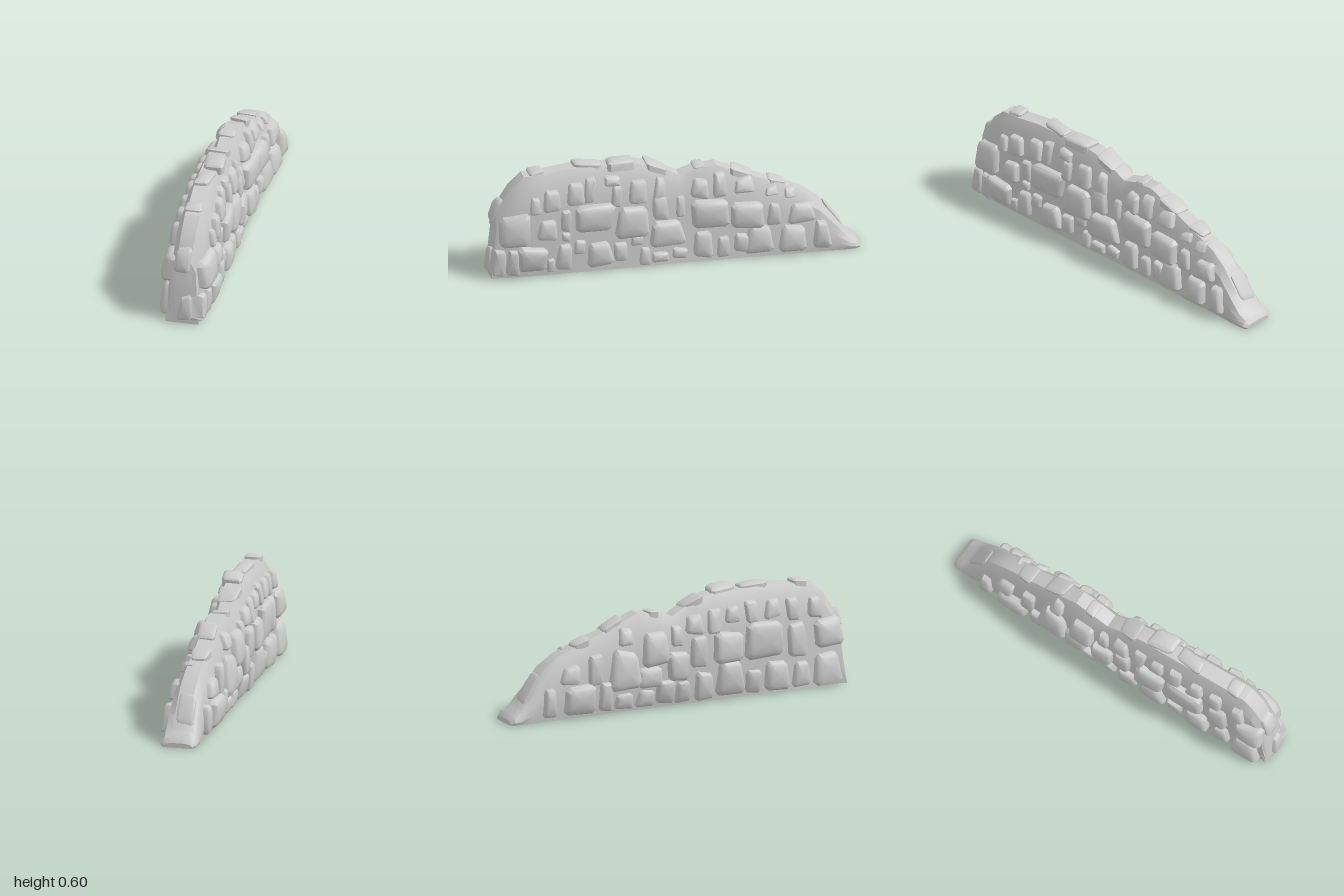
import * as THREE from 'three';
import { toCreasedNormals } from 'three/addons/utils/BufferGeometryUtils.js';

const material = new THREE.MeshStandardMaterial({ color: 0xcccccc });

let seed = 7;
const rand = () => {
  seed = (seed * 16807) % 2147483647;
  return seed / 2147483647 - 0.5;
};

// Wall stations from front to back: z, height, half width, sideways drift
const stations = [
  [0.98, 0.02, 0.09, 0], [0.95, 0.36, 0.086, 0], [0.87, 0.49, 0.093, 0.01],
  [0.8, 0.555, 0.097, 0.012], [0.7, 0.56, 0.098, 0.01], [0.55, 0.575, 0.098, -0.002],
  [0.35, 0.57, 0.098, -0.01], [0.18, 0.565, 0.096, -0.014], [0.08, 0.54, 0.094, -0.02],
  [-0.04, 0.475, 0.09, -0.024], [-0.12, 0.5, 0.092, -0.024], [-0.24, 0.515, 0.092, -0.02],
  [-0.36, 0.465, 0.092, -0.02], [-0.55, 0.395, 0.094, -0.015], [-0.7, 0.335, 0.095, -0.01],
  [-0.79, 0.27, 0.097, -0.005], [-0.88, 0.155, 0.1, 0], [-0.94, 0.075, 0.1, 0],
  [-0.98, 0.052, 0.097, 0], [-1, 0.025, 0.08, 0],
];

function stationAt(z) {
  const i = Math.max(1, stations.findIndex(s => s[0] <= z));
  const a = stations[i - 1], b = stations[i];
  const t = THREE.MathUtils.clamp((a[0] - z) / (a[0] - b[0]), 0, 1);
  return a.map((v, k) => v + (b[k] - v) * t);
}

// Half of the cross-section, from the foot up to the chamfered top
function halfSection([, H, w]) {
  const d = Math.min(1, H / 0.4);
  return [[w * 0.93, 0], [w, H * 0.25], [w * 0.94, H - 0.19 * d], [w * 0.78, H - 0.07 * d], [w * 0.42, H]];
}

// The drift fades out towards the straight foot
const drift = (s, y) => s[3] * Math.min(1, y / 0.15);

function halfWidth(s, y) {
  const p = halfSection(s);
  for (let i = 1; i < p.length; i++) {
    if (y <= p[i][1]) {
      const t = Math.max(0, (y - p[i - 1][1]) / (p[i][1] - p[i - 1][1]));
      return p[i - 1][0] + (p[i][0] - p[i - 1][0]) * t;
    }
  }
  return p[p.length - 1][0];
}

function buildGeometry(positions, indices) {
  const geometry = new THREE.BufferGeometry();
  geometry.setAttribute('position', new THREE.Float32BufferAttribute(positions, 3));
  geometry.setIndex(indices);
  return geometry;
}

function addMesh(group, geometry, name, crease) {
  const mesh = new THREE.Mesh(toCreasedNormals(geometry, crease), material);
  mesh.name = name;
  group.add(mesh);
}

// Mortar core lofted through the stations
function buildCore() {
  const positions = [], indices = [], n = 10;
  for (const s of stations) {
    const right = halfSection(s);
    const ring = [...right, ...right.map(([x, y]) => [-x, y]).reverse()];
    for (const [x, y] of ring) positions.push(x + drift(s, y), y, s[0]);
  }
  const last = (stations.length - 1) * n;
  for (let i = 0; i < last; i += n) {
    for (let j = 0; j < n; j++) {
      const k = (j + 1) % n;
      indices.push(i + j, i + n + j, i + n + k, i + j, i + n + k, i + k);
    }
  }
  for (let j = 1; j < n - 1; j++) {
    indices.push(0, j, j + 1, last, last + j + 1, last + j);
  }
  return buildGeometry(positions, indices);
}

// Rough domed stone at (u, v); place() lays it on a surface, with o pointing outwards
function stone(u, v, w, h, taper, proud, place) {
  const size = Math.min(w, h), a = w / 2, b = h / 2;
  const turn = rand() * 0.12, tiltU = rand() * 0.16, tiltV = rand() * 0.16;
  const corners = [[-a, -b], [a, -b], [a * taper, b], [-a * taper, b]].map(([x, y]) =>
    [x - y * turn + rand() * size * 0.22, y + x * turn + rand() * size * 0.22]);
  // Cut each corner into two points
  const outline = corners.flatMap((c, i) => [corners[(i + 3) % 4], corners[(i + 1) % 4]].map(
    q => [c[0] + (q[0] - c[0]) * 0.12, c[1] + (q[1] - c[1]) * 0.12]));
  // Rings step inwards as they rise, up to a shallow dome
  const layers = [[0, -0.025], [0, proud * 0.5], [size * 0.06, proud * 0.78], [size * 0.17, proud * 0.95]];
  const positions = [], indices = [], n = outline.length;
  const put = (x, y, o) => positions.push(
    ...place(u + x, v + y, o + x * tiltU + y * tiltV));
  for (const [inset, o] of layers) {
    for (const [x, y] of outline) put(x * (1 - 2 * inset / w), y * (1 - 2 * inset / h), o);
  }
  put(0, 0, proud * 1.08);
  const top = layers.length * n;
  for (let j = 0; j < n; j++) {
    const k = (j + 1) % n;
    for (let i = 0; i < top - n; i += n) {
      indices.push(i + j, i + k, i + n + k, i + j, i + n + k, i + n + j);
    }
    indices.push(top - n + j, top - n + k, top);
  }
  return buildGeometry(positions, indices);
}

// Courses of face stones: z, y, width, height, top taper
const leftLower = [
  [0.945, 0.09, 0.075, 0.14, 0.8], [0.87, 0.09, 0.07, 0.14, 0.8], [0.77, 0.1, 0.15, 0.14, 0.95],
  [0.665, 0.06, 0.04, 0.07, 0.8], [0.59, 0.1, 0.09, 0.14, 0.85], [0.51, 0.15, 0.06, 0.075, 1],
  [0.4, 0.095, 0.14, 0.13, 0.7], [0.285, 0.1, 0.08, 0.11, 0.9], [0.2, 0.155, 0.06, 0.05, 1],
  [0.155, 0.065, 0.06, 0.09, 0.8], [0.075, 0.05, 0.085, 0.05, 1], [0.03, 0.175, 0.19, 0.15, 0.75],
  [-0.03, 0.06, 0.08, 0.05, 0.9], [-0.15, 0.095, 0.11, 0.14, 0.9], [-0.265, 0.075, 0.07, 0.11, 0.8],
  [-0.36, 0.09, 0.08, 0.1, 0.8], [-0.46, 0.1, 0.16, 0.14, 0.65], [-0.64, 0.095, 0.15, 0.145, 0.85],
  [-0.79, 0.095, 0.11, 0.15, 0.65],
];
const leftMiddle = [
  [0.85, 0.28, 0.16, 0.15, 0.9], [0.685, 0.265, 0.11, 0.12, 0.65], [0.58, 0.305, 0.05, 0.12, 1],
  [0.58, 0.215, 0.05, 0.05, 0.8], [0.435, 0.3, 0.205, 0.15, 1], [0.23, 0.255, 0.18, 0.16, 0.85],
  [0.075, 0.325, 0.1, 0.13, 0.8], [-0.04, 0.315, 0.05, 0.11, 0.8], [-0.19, 0.275, 0.2, 0.155, 1],
  [-0.395, 0.245, 0.19, 0.15, 0.75], [-0.54, 0.235, 0.07, 0.12, 0.8], [-0.685, 0.225, 0.14, 0.1, 0.75],
];
const leftUpper = [
  [0.745, 0.405, 0.06, 0.09, 0.8], [0.655, 0.42, 0.09, 0.11, 0.7], [0.535, 0.45, 0.1, 0.13, 0.7],
  [0.45, 0.46, 0.055, 0.13, 0.9], [0.325, 0.5, 0.08, 0.05, 1], [0.31, 0.41, 0.06, 0.11, 0.8],
  [0.19, 0.43, 0.09, 0.13, 0.9], [0.07, 0.43, 0.07, 0.11, 0.8], [-0.14, 0.41, 0.09, 0.1, 0.7],
  [-0.25, 0.42, 0.075, 0.13, 0.8], [-0.38, 0.4, 0.11, 0.08, 0.7], [-0.53, 0.355, 0.07, 0.045, 0.8],
  [-0.63, 0.335, 0.06, 0.05, 0.8],
];
const rightLower = [
  [-0.78, 0.1, 0.09, 0.15, 0.7], [-0.61, 0.1, 0.2, 0.16, 0.8], [-0.45, 0.1, 0.08, 0.16, 0.8],
  [-0.34, 0.06, 0.1, 0.08, 0.9], [-0.22, 0.06, 0.1, 0.09, 0.8], [-0.11, 0.09, 0.1, 0.13, 0.8],
  [0, 0.07, 0.09, 0.11, 0.8], [0.12, 0.09, 0.11, 0.15, 0.85], [0.28, 0.11, 0.16, 0.17, 0.85],
  [0.42, 0.08, 0.09, 0.12, 0.85], [0.56, 0.1, 0.14, 0.16, 0.85], [0.7, 0.08, 0.1, 0.13, 0.8],
  [0.86, 0.1, 0.15, 0.16, 0.8],
];
const rightMiddle = [
  [-0.66, 0.235, 0.12, 0.1, 0.7], [-0.51, 0.25, 0.08, 0.16, 0.8], [-0.35, 0.23, 0.17, 0.2, 0.8],
  [-0.17, 0.33, 0.17, 0.17, 0.85], [-0.2, 0.18, 0.12, 0.1, 0.9], [-0.03, 0.22, 0.13, 0.14, 0.85],
  [0.09, 0.28, 0.1, 0.17, 0.9], [0.27, 0.29, 0.17, 0.15, 0.9], [0.48, 0.3, 0.21, 0.18, 0.95],
  [0.67, 0.27, 0.11, 0.17, 0.8], [0.87, 0.29, 0.15, 0.15, 0.9],
];
const rightUpper = [
  [-0.33, 0.4, 0.09, 0.09, 0.7], [-0.03, 0.38, 0.07, 0.11, 0.8], [0.07, 0.43, 0.1, 0.1, 0.8],
  [0.19, 0.43, 0.07, 0.13, 0.9], [0.3, 0.46, 0.09, 0.08, 0.8], [0.41, 0.46, 0.07, 0.12, 0.9],
  [0.54, 0.46, 0.09, 0.1, 0.8], [0.66, 0.44, 0.08, 0.12, 0.8], [0.79, 0.43, 0.09, 0.1, 0.7],
];

// Capping stones: x, z, width, length, height above the core
const caps = [
  [0.01, 0.73, 0.1, 0.08, 0.02], [-0.005, 0.455, 0.09, 0.14, 0.022], [0.01, 0.27, 0.12, 0.14, 0.032],
  [-0.02, 0.09, 0.1, 0.11, 0.016], [-0.03, -0.15, 0.09, 0.06, 0.014], [-0.01, -0.38, 0.11, 0.12, 0.02],
  [-0.02, -0.57, 0.09, 0.1, 0.016], [-0.01, -0.86, 0.1, 0.1, 0.022],
];

export function createModel() {
  const wall = new THREE.Group();
  wall.name = 'ruinedStoneWall';
  addMesh(wall, buildCore(), 'mortarCore', 0.5);

  // Face stones follow the batter and drift of the core
  const sides = [
    ['leftFaceStones', 1, [...leftLower, ...leftMiddle, ...leftUpper]],
    ['rightFaceStones', -1, [...rightLower, ...rightMiddle, ...rightUpper]],
  ];
  for (const [name, side, list] of sides) {
    const group = new THREE.Group();
    group.name = name;
    for (const [z, y, w, h, taper] of list) {
      const proud = Math.min(0.05, 0.014 + 0.24 * Math.min(w, h));
      const place = (u, v, o) => {
        const pz = -side * u, s = stationAt(pz), py = Math.max(v, 0.012);
        return [drift(s, py) + side * (halfWidth(s, py) + o), py, pz];
      };
      addMesh(group, stone(-side * z, y, w, h, taper, proud, place), 'faceStone', 0.6);
    }
    wall.add(group);
  }

  // Capping stones along the ridge, each bedded on the local slope
  for (const [x, z, w, l, proud] of caps) {
    const front = stationAt(z + l / 2)[1], back = stationAt(z - l / 2)[1];
    const slope = (front - back) / l;
    const place = (u, v, o) => [u, (front + back) / 2 + slope * (-v - z) + o, -v];
    addMesh(wall, stone(x, -z, w, l, 0.9, proud, place), 'cappingStone', 0.6);
  }

  // Stones on the sloping front end
  for (const [x, y, w, h, taper] of [[0.015, 0.09, 0.085, 0.14, 0.65], [0, 0.36, 0.085, 0.125, 0.9]]) {
    const place = (u, v, o) => [u, v, 0.98 - 0.09 * v - 0.45 * Math.max(0, v - 0.36) + o];
    addMesh(wall, stone(x, y, w, h, taper, 0.026, place), 'endStone', 0.6);
  }
  return wall;
}
